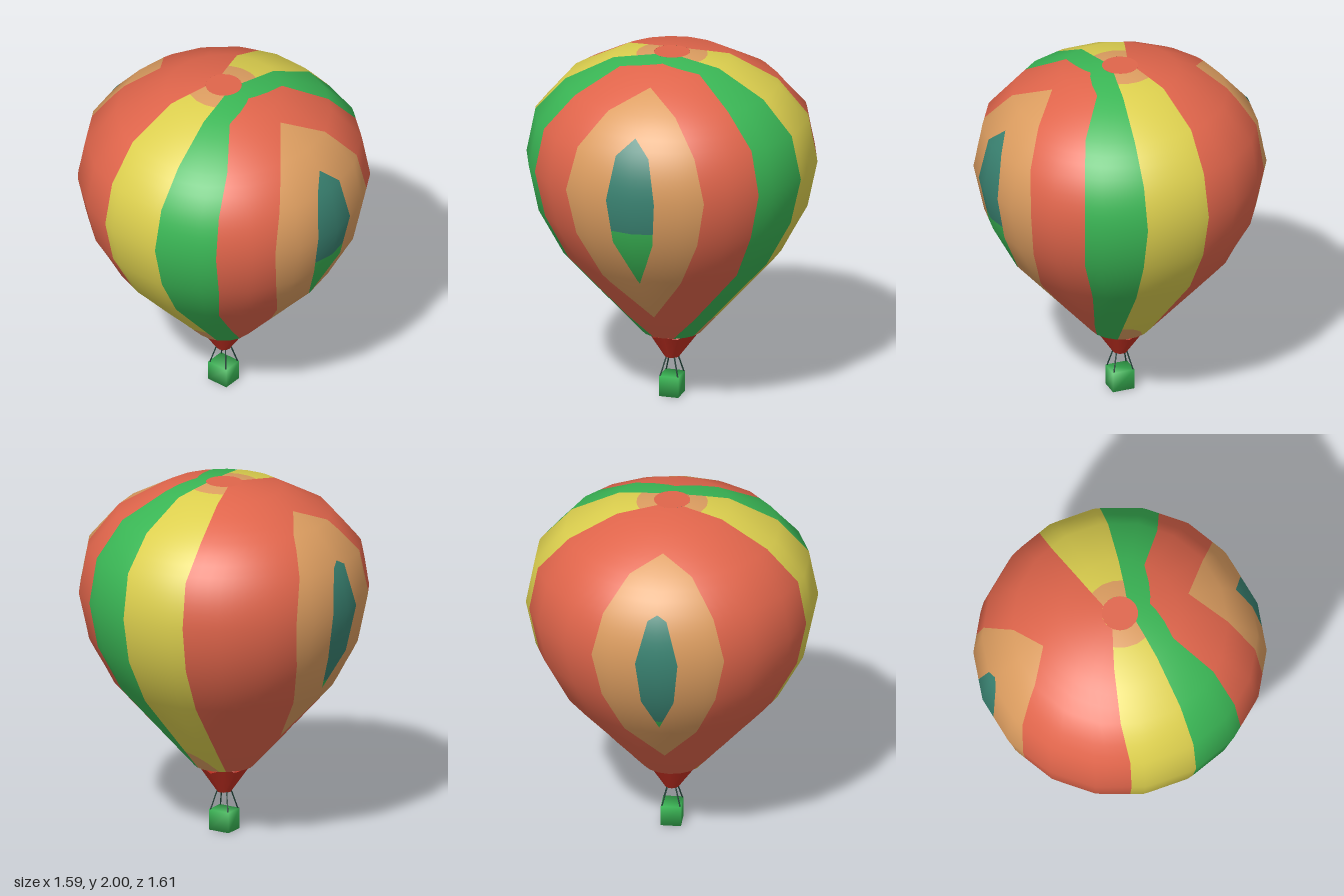
import * as THREE from 'three';

const DEG = Math.PI / 180;
const mat = (name, color, side = THREE.FrontSide) => {
  const m = new THREE.MeshStandardMaterial({ color, side });
  m.name = name;
  return m;
};

// Envelope profile: [height, radius]
const PROFILE = [[0.38, 0.17], [0.87, 0.61], [1.13, 0.75], [1.39, 0.805], [1.64, 0.757],
  [1.83, 0.592], [1.97, 0.325], [2.0, 0.1]];

// Colour boundaries: [height, degrees from the front], the same on both halves
const TEAL_FRONT = [[0.85, 0], [1.13, 8.8], [1.39, 10], [1.64, 7.2], [1.73, 0]];
const ORANGE_FRONT = [[0.56, 0], [0.87, 22], [1.13, 28], [1.39, 30], [1.64, 26.7], [1.83, 19], [1.93, 0]];
const RED_FRONT = [[0.38, 20], [0.87, 53.5], [1.13, 53], [1.39, 54], [1.64, 53], [1.83, 49], [1.97, 45], [1.99, 0]];
const GREEN = [[0.38, 64], [0.87, 76.5], [1.13, 78], [1.39, 79], [1.64, 78], [1.83, 76], [1.97, 71], [2, 48]];
const YELLOW = [[0.38, 126], [0.87, 107.5], [1.13, 106], [1.39, 105.8], [1.64, 106], [1.83, 110], [1.97, 116], [2, 135]];
const PATCH = [[0.38, 114], [0.44, 99], [0.48, 87], [0.5, 70]];
const RED_BACK = [[0.6, 180], [0.87, 161], [1.13, 155], [1.39, 152.5], [1.64, 156], [1.83, 163], [1.905, 180]];
const TEAL_BACK = [[0.92, 180], [1.13, 173], [1.39, 171.5], [1.64, 176], [1.67, 180]];

function lerpTable(table, y, column = 1) {
  if (y <= table[0][0]) return table[0][column];
  for (let i = 1; i < table.length; i++) {
    const [a, b] = [table[i - 1], table[i]];
    if (y <= b[0]) return a[column] + (b[column] - a[column]) * (y - a[0]) / (b[0] - a[0]);
  }
  return table[table.length - 1][column];
}
const radius = y => lerpTable(PROFILE, y);

// Boundary angle at a height, straight in space between its points
function edge(table, y) {
  const flat = table.map(([h, d]) => [h, radius(h) * Math.sin(d * DEG), radius(h) * Math.cos(d * DEG)]);
  return Math.atan2(Math.max(0, lerpTable(flat, y, 1)), lerpTable(flat, y, 2));
}

// Upward tilt of the smooth normal at each ring
const TILT = PROFILE.map(([y], i) => {
  const a = PROFILE[Math.max(0, i - 1)], b = PROFILE[Math.min(PROFILE.length - 1, i + 1)];
  return [y, Math.atan2(-(b[1] - a[1]), b[0] - a[0])];
});

function patchEdge(y) {
  if (y >= 1.987) return edge(YELLOW, y);
  return y < 0.5 ? Math.max(edge(GREEN, y), edge(PATCH, y)) : edge(GREEN, y);
}

function buildEnvelope(mats) {
  const buckets = {};
  const heights = [PROFILE, TEAL_FRONT, ORANGE_FRONT, RED_FRONT, PATCH, RED_BACK, TEAL_BACK]
    .flatMap(t => t.map(p => p[0])).concat([1.2, 0.97, 0.4999, 1.9869, 1.987, 1.98]);
  for (let y = 0.42; y < 1.97; y += 0.05) heights.push(y);
  const ys = [...new Set(heights.map(y => +y.toFixed(4)))].sort((a, b) => a - b);

  const edgesAt = y => {
    const e = [0, edge(TEAL_FRONT, y), edge(ORANGE_FRONT, y), edge(RED_FRONT, y), edge(GREEN, y),
      patchEdge(y), edge(YELLOW, y), edge(RED_BACK, y), edge(TEAL_BACK, y), Math.PI];
    for (let i = 1; i < e.length; i++) e[i] = Math.max(e[i], e[i - 1]);
    return e;
  };
  const bandColours = y => [y < 1.2 ? 'green' : 'teal', 'orange', 'red', 'green', 'orange', 'yellow',
    'red', 'orange', y < 0.97 ? 'green' : 'teal'];

  // A point on the eighteen-sided envelope with its smooth normal
  const put = (bucket, y, a, s) => {
    const deg = a / DEG;
    const off = (deg - Math.floor(deg / 20) * 20 - 10) * DEG;
    const r = radius(y) * Math.cos(10 * DEG) / Math.cos(off);
    const t = lerpTable(TILT, y);
    bucket.p.push(s * r * Math.sin(a), y, r * Math.cos(a));
    bucket.n.push(s * Math.sin(a) * Math.cos(t), Math.sin(t), Math.cos(a) * Math.cos(t));
  };

  const STEPS = 10;
  for (let i = 0; i + 1 < ys.length; i++) {
    const [y0, y1] = [ys[i], ys[i + 1]];
    const [e0, e1] = [edgesAt(y0), edgesAt(y1)];
    bandColours((y0 + y1) / 2).forEach((colour, k) => {
      const [w0, w1] = [e0[k + 1] - e0[k], e1[k + 1] - e1[k]];
      if (w0 < 1e-5 && w1 < 1e-5) return;
      const bucket = buckets[colour] ??= { p: [], n: [] };
      for (const s of [1, -1]) for (let j = 0; j < STEPS; j++) {
        const A = [y0, e0[k] + w0 * j / STEPS], B = [y0, e0[k] + w0 * (j + 1) / STEPS];
        const C = [y1, e1[k] + w1 * (j + 1) / STEPS], D = [y1, e1[k] + w1 * j / STEPS];
        const corners = s > 0 ? [A, B, C, A, C, D] : [A, C, B, A, D, C];
        corners.forEach(([y, a]) => put(bucket, y, a, s));
      }
    });
  }

  const group = new THREE.Group();
  group.name = 'envelope';
  for (const [colour, { p, n }] of Object.entries(buckets)) {
    const g = new THREE.BufferGeometry();
    g.setAttribute('position', new THREE.Float32BufferAttribute(p, 3));
    g.setAttribute('normal', new THREE.Float32BufferAttribute(n, 3));
    const mesh = new THREE.Mesh(g, mats[colour]);
    mesh.name = colour + 'Panels';
    group.add(mesh);
  }
  // Flat disc closing the crown
  const crown = new THREE.Mesh(new THREE.CircleGeometry(0.1, 18).rotateX(-Math.PI / 2), mats.red);
  crown.position.y = 2;
  crown.name = 'crownCap';
  group.add(crown);
  return group;
}

export function createModel() {
  const model = new THREE.Group();
  model.name = 'hotAirBalloon';
  const mats = {
    red: mat('coral red', 0xe0654b, THREE.DoubleSide),
    orange: mat('soft orange', 0xdc9d60, THREE.DoubleSide),
    yellow: mat('yellow', 0xdccf4e, THREE.DoubleSide),
    green: mat('green', 0x3ab655, THREE.DoubleSide),
    teal: mat('teal', 0x3a8372, THREE.DoubleSide),
  };
  const scoopRed = mat('deep red', 0xc63022, THREE.DoubleSide);
  const ropeDark = mat('dark rope', 0x1f3d35);
  const add = (geometry, material, name) => {
    const mesh = new THREE.Mesh(geometry, material);
    mesh.name = name;
    model.add(mesh);
    return mesh;
  };

  model.add(buildEnvelope(mats));

  // Funnel under the mouth, with a wavy upper edge
  const scoop = new THREE.CylinderGeometry(0.14, 0.04, 0.14, 12, 1, true).translate(0, 0.29, 0);
  const pos = scoop.attributes.position;
  const rim = [0.37, 0.362, 0.38, 0.355];
  for (let i = 0; i < pos.count; i++) {
    if (pos.getY(i) < 0.3) continue;
    const k = Math.round(Math.asin(Math.min(1, Math.abs(pos.getX(i)) / 0.14)) / (30 * DEG));
    pos.setY(i, rim[k]);
  }
  scoop.computeVertexNormals();
  add(scoop, scoopRed, 'scoop');

  // Basket with softly shaded sides
  const basket = new THREE.BoxGeometry(0.112, 0.117, 0.128);
  const bp = basket.attributes.position, v = new THREE.Vector3();
  for (let i = 0; i < bp.count; i++) {
    v.fromBufferAttribute(bp, i).normalize();
    basket.attributes.normal.setXYZ(i, v.x, v.y, v.z);
  }
  add(basket, mats.green, 'basket').position.y = 0.0585;

  // Four ropes from the basket corners to the scoop
  for (const sx of [1, -1]) for (const sz of [1, -1]) {
    const path = new THREE.LineCurve3(new THREE.Vector3(sx * 0.052, 0.11, sz * 0.058),
      new THREE.Vector3(sx * 0.02, 0.235, sz * 0.028));
    add(new THREE.TubeGeometry(path, 1, 0.004, 6), ropeDark, 'rope');
  }
  return model;
}
